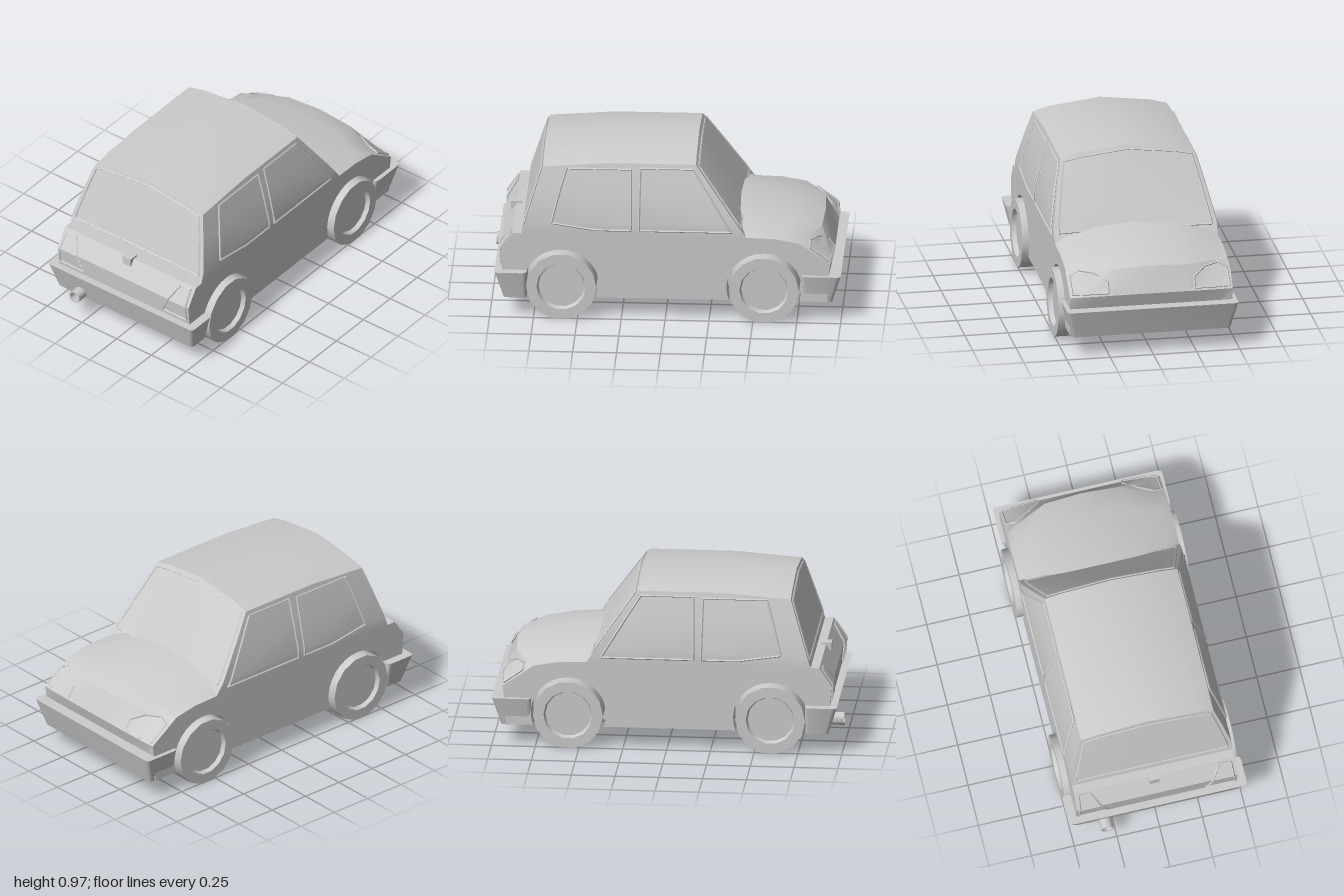
import * as THREE from 'three';
import { mergeGeometries, toCreasedNormals } from 'three/addons/utils/BufferGeometryUtils.js';

const V = (x, y, z) => new THREE.Vector3(x, y, z);
const mat = new THREE.MeshStandardMaterial({ color: 0xcccccc, side: THREE.DoubleSide });
const mesh = (name, geo, crease = 0.5) => {
  const m = new THREE.Mesh(toCreasedNormals(geo, crease), mat);
  m.name = name;
  return m;
};

// Piecewise linear lookup
function lerpTable(xs, ys, x) {
  let i = 0;
  while (i < xs.length - 2 && x > xs[i + 1]) i++;
  return ys[i] + (ys[i + 1] - ys[i]) * (x - xs[i]) / (xs[i + 1] - xs[i]);
}

// Surface through rows of points
function skin(rows) {
  const n = rows[0].length, index = [];
  for (let r = 0; r < rows.length - 1; r++)
    for (let c = 0; c < n - 1; c++) {
      const a = r * n + c, b = a + n;
      index.push(a, a + 1, b, a + 1, b + 1, b);
    }
  const geo = new THREE.BufferGeometry().setFromPoints(rows.flat());
  geo.setIndex(index);
  geo.computeVertexNormals();
  return geo;
}

// Pane or lamp with a thin raised trim around its border
function panel(name, rows) {
  const group = new THREE.Group();
  group.name = name;
  group.add(mesh(name + 'Pane', skin(rows)));
  const last = rows.length - 1, n = rows[0].length;
  const border = [
    ...rows[0], ...rows.slice(1, last).map(r => r[n - 1]),
    ...[...rows[last]].reverse(), ...rows.slice(1, last).map(r => r[0]).reverse(),
  ];
  const bars = border.map((a, i) => {
    const d = border[(i + 1) % border.length].clone().sub(a);
    const bar = new THREE.CylinderGeometry(0.006, 0.006, d.length(), 4);
    bar.translate(0, d.length() / 2, 0);
    bar.applyQuaternion(new THREE.Quaternion().setFromUnitVectors(V(0, 1, 0), d.normalize()));
    return bar.translate(a.x, a.y, a.z);
  });
  group.add(mesh(name + 'Trim', mergeGeometries(bars)));
  return group;
}

const mirror = (rows, s) => rows.map(r => r.map(p => V(p.x * s, p.y, p.z)));
const wheelZ = [0.592, -0.563];

// Side profile of the lower body, extruded from x0 to x1
function bodySlab(x0, x1, arches) {
  const s = new THREE.Shape();
  s.moveTo(0.92, 0.125);
  if (arches) for (const z of wheelZ) s.absarc(z, 0.2, 0.215, -0.356, Math.PI + 0.356, false);
  for (const [z, y] of [[-0.92, 0.125], [-0.93, 0.28], [-0.94, 0.355], [-0.76, 0.48], [-0.62, 0.505],
    [-0.44, 0.51], [0.87, 0.51], [0.94, 0.405], [0.93, 0.285]]) s.lineTo(z, y);
  const geo = new THREE.ExtrudeGeometry(s, { depth: x1 - x0, bevelEnabled: false, curveSegments: 9 });
  return geo.translate(0, 0, -x1).rotateY(-Math.PI / 2);
}

// Bonnet: lengthwise lines [z, y] at four distances from the middle
const hoodX = [0, 0.22, 0.4, 0.47];
const hoodLines = [
  [[-0.40, 0.60], [-0.74, 0.555], [-0.89, 0.505], [-0.955, 0.36], [-0.93, 0.28]],
  [[-0.41, 0.585], [-0.74, 0.545], [-0.88, 0.495], [-0.955, 0.36], [-0.93, 0.28]],
  [[-0.43, 0.545], [-0.68, 0.515], [-0.80, 0.482], [-0.95, 0.358], [-0.93, 0.28]],
  [[-0.44, 0.51], [-0.62, 0.505], [-0.76, 0.48], [-0.94, 0.355], [-0.93, 0.28]],
];
function hood(x, r, lift = 0) {
  const at = k => lerpTable(hoodX, hoodLines.map(l => lerpTable([0, 1, 2, 3, 4], l.map(p => p[k]), r)), Math.abs(x));
  return V(x, at(1) + lift, at(0) - lift);
}

// Cabin: u across (-1..1), z position on the roof, t from waist (0) to roof edge (1)
const halfWidth = t => lerpTable([0, 0.17, 0.65, 1], [0.47, 0.47, 0.425, 0.387], t);
const roofY = (u, z) => lerpTable([-0.17, 0.33, 0.7], [0.98, 0.98, 0.952], z)
  - lerpTable([0, 0.75, 1], [0, 0.036, 0.062], Math.abs(u));
function cabin(u, end, t, lift = 0) {
  const [base, top] = { back: [0.82, 0.7], mid: [0.33, 0.33], front: [-0.46, -0.17] }[end];
  const z = base + (top - base) * t;
  return V(u * halfWidth(t), 0.51 + (roofY(u, top) - 0.51) * t + lift * 0.5, z + Math.sign(base) * lift);
}

// Bumper: rounded bar from z0 to z1, narrowing downwards
function bumper(name, half, z0, z1, outward) {
  const s = new THREE.Shape(), r = 0.025, a = -half, b = half;
  s.moveTo(a + r, z0); s.lineTo(b - r, z0); s.quadraticCurveTo(b, z0, b, z0 + r);
  s.lineTo(b, z1 - r); s.quadraticCurveTo(b, z1, b - r, z1);
  s.lineTo(a + r, z1); s.quadraticCurveTo(a, z1, a, z1 - r);
  s.lineTo(a, z0 + r); s.quadraticCurveTo(a, z0, a + r, z0);
  const geo = new THREE.ExtrudeGeometry(s, { depth: 0.165, bevelEnabled: false, curveSegments: 4 });
  geo.rotateX(Math.PI / 2).translate(0, 0.285, 0);
  const p = geo.attributes.position;
  for (let i = 0; i < p.count; i++) {
    const k = (0.285 - p.getY(i)) / 0.165;
    p.setX(i, p.getX(i) * (1 - 0.075 * k));
    if (p.getZ(i) * outward > 0.87) p.setZ(i, p.getZ(i) - outward * 0.05 * k);
  }
  return mesh(name, geo);
}

export function createModel() {
  const car = new THREE.Group();
  car.name = 'car';

  // Lower body with wheel arches only in the outer slabs
  car.add(mesh('bodyCore', bodySlab(-0.33, 0.33, false)));
  car.add(mesh('leftBodySide', bodySlab(0.33, 0.47, true)));
  car.add(mesh('rightBodySide', bodySlab(-0.47, -0.33, true)));
  const hoodXs = [-0.47, -0.4, -0.22, 0, 0.22, 0.4, 0.47];
  car.add(mesh('hood', skin([4, 3, 2, 1, 0].map(r => hoodXs.map(x => hood(x, r))))));

  // Cabin walls and roof
  const us = [-1, -0.75, 0, 0.75, 1], ts = [0, 0.17, 0.65, 1];
  const ring = t => [
    ...us.map(u => cabin(u, 'back', t)), cabin(1, 'mid', t),
    ...us.map(u => cabin(-u, 'front', t)), cabin(-1, 'mid', t), cabin(-1, 'back', t)];
  car.add(mesh('cabinWalls', skin(ts.map(ring))));
  car.add(mesh('roof', skin(['back', 'mid', 'front'].map(e => us.map(u => cabin(u, e, 1))))));

  // Windscreen and rear window
  const paneUs = [-0.94, -0.72, 0, 0.72, 0.94];
  car.add(panel('rearWindow', [0.1, 0.17, 0.65, 0.95].map(t => paneUs.map(u => cabin(u, 'back', t, 0.003)))));
  car.add(panel('windscreen', [0.95, 0.65, 0.17, 0.12].map(t => paneUs.map(u => cabin(u, 'front', t, 0.003)))));

  // Rows of [y, back z, front z] for the side windows
  const sideWindows = {
    RearSideWindow: [[0.54, 0.40, 0.195], [0.578, 0.65, 0.195], [0.77, 0.60, 0.198], [0.885, 0.565, 0.2]],
    FrontSideWindow: [[0.54, 0.15, -0.38], [0.578, 0.15, -0.355], [0.77, 0.147, -0.235], [0.892, 0.145, -0.155]],
  };
  const headTop = [[0.25, 2.5], [0.32, 2.18], [0.4, 2.1], [0.455, 2.3]];
  const lampRows = [[0.495, 0.375, 0.445, 0.882], [0.405, 0.325, 0.45, 0.942], [0.315, 0.285, 0.455, 0.934]];

  for (const [side, s] of [['left', 1], ['right', -1]]) {
    for (const [name, rows] of Object.entries(sideWindows))
      car.add(panel(side + name, mirror(rows.map(([y, ...zs]) =>
        zs.map(z => V(halfWidth((y - 0.51) / 0.4) + 0.003, y, z))), s)));
    car.add(panel(side + 'Headlight', mirror([
      headTop.map(([x, r]) => hood(x, r, 0.006)), headTop.map(([x]) => hood(x, 2.92, 0.006))], s)));
    car.add(panel(side + 'TailLight', mirror(lampRows.map(([y, a, b, z]) => [V(a, y, z + 0.003), V(b, y, z + 0.003)]), s)));

    // Wheels with a recessed hub
    wheelZ.forEach((z, i) => {
      const profile = [[0, 0], [0.2, 0], [0.2, 0.165], [0.14, 0.165], [0.13, 0.14], [0, 0.14]]
        .map(([r, h]) => new THREE.Vector2(r, h));
      const wheel = mesh(side + (i ? 'FrontWheel' : 'RearWheel'), new THREE.LatheGeometry(profile, 14));
      wheel.rotation.z = -s * Math.PI / 2;
      wheel.position.set(s * 0.34, 0.2, z);
      car.add(wheel);
    });
  }

  // Bumpers
  car.add(bumper('rearBumper', 0.522, 0.79, 0.972, 1));
  car.add(bumper('frontBumper', 0.495, -1, -0.775, -1));

  // Hatch handle
  const handle = mesh('hatchHandle', new THREE.BoxGeometry(0.056, 0.05, 0.06));
  handle.position.set(-0.005, 0.497, 0.872);
  car.add(handle);

  // Exhaust: hollow tailpipe and muffler
  const pipe = [[0.028, 0], [0.037, 0], [0.037, 0.2], [0.029, 0.2], [0.029, 0.15], [0, 0.15]];
  const tailpipe = mesh('tailpipe', new THREE.LatheGeometry(pipe.map(p => new THREE.Vector2(...p)), 14).rotateX(Math.PI / 2));
  tailpipe.position.set(-0.305, 0.16, 0.8);
  const muffler = mesh('muffler', new THREE.CylinderGeometry(0.05, 0.05, 0.13, 10).rotateX(Math.PI / 2));
  muffler.position.set(-0.3, 0.15, 0.835);
  car.add(tailpipe, muffler);

  return car;
}
